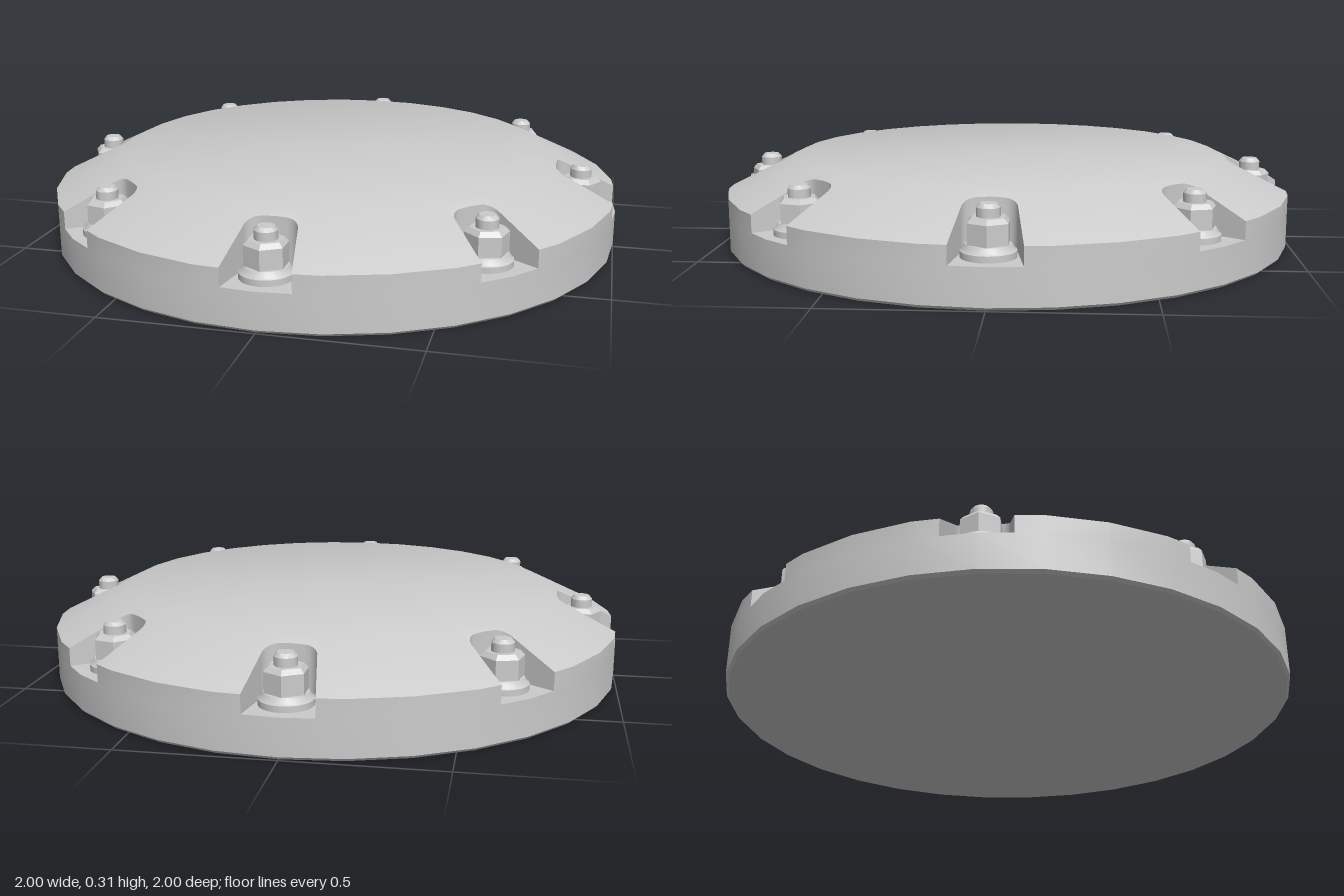
import * as THREE from 'three';
import { toCreasedNormals } from 'three/addons/utils/BufferGeometryUtils.js';

const SIDES = 32, NOTCHES = 8;
const STEP = (Math.PI * 2) / SIDES;
const FLOOR = 0.13, RIM = 0.19, TOP = 0.31, INNER = 0.75;
const BOLT_RADIUS = 0.875;

const material = new THREE.MeshStandardMaterial({ color: 0xcccccc });

function part(name, geometry, crease = 0.5) {
  const mesh = new THREE.Mesh(toCreasedNormals(geometry, crease), material);
  mesh.name = name;
  return mesh;
}

function lathe(points, sides) {
  return new THREE.LatheGeometry(points.map(([r, y]) => new THREE.Vector2(r, y)), sides);
}

// Radius of the unit polygon with SIDES corners at a given angle
function rim(angle) {
  const a = ((angle % STEP) + STEP) % STEP;
  return Math.cos(STEP / 2) / Math.cos(a - STEP / 2);
}

// Plan outline as [angle, radius], with a tapered round-cornered notch at each bolt
function notchedOutline() {
  const mouth = 0.11;
  const half = [];
  for (let i = 0; i <= 5; i++) {
    const t = (i / 5) * Math.PI / 2;
    const u = 0.04 + 0.045 * Math.sin(t), r = 0.835 - 0.045 * Math.cos(t);
    half.push([Math.atan2(u, r), Math.hypot(u, r)]);
  }
  half.push([mouth, rim(mouth)]);
  const outline = [];
  for (let n = 0; n < NOTCHES; n++) {
    const base = (n * Math.PI * 2) / NOTCHES;
    for (const [a, r] of [...half].reverse()) outline.push([base - a, r]);
    outline.push([base, 0.79]);
    for (const [a, r] of half) outline.push([base + a, r]);
    for (let k = 1; k < SIDES / NOTCHES; k++) outline.push([base + k * STEP, 1]);
  }
  return outline;
}

// Vertical walls, sloping shoulder and flat top joined around the notched outline
function coverGeometry() {
  const at = (a, r, y) => [Math.sin(a) * r, y, Math.cos(a) * r];
  const columns = notchedOutline().map(([a, r]) => {
    const t = (1 - r / rim(a)) / (1 - INNER);
    return [
      at(a, r, FLOOR),
      at(a, r, RIM + (TOP - RIM) * t),
      at(a, INNER * rim(a), TOP),
    ];
  });
  const positions = [];
  columns.forEach((c, i) => {
    const d = columns[(i + 1) % columns.length];
    for (let j = 0; j < 2; j++) {
      positions.push(...c[j], ...d[j], ...d[j + 1], ...c[j], ...d[j + 1], ...c[j + 1]);
    }
    positions.push(...c[2], ...d[2], 0, TOP, 0);
  });
  const geometry = new THREE.BufferGeometry();
  geometry.setAttribute('position', new THREE.Float32BufferAttribute(positions, 3));
  return geometry;
}

function createBolt() {
  const bolt = new THREE.Group();
  bolt.name = 'bolt';
  // Washer and nut flange
  bolt.add(part('washer', lathe([[0.085, 0], [0.085, 0.02], [0.078, 0.025], [0.07, 0.04], [0.03, 0.045]], 24)));
  // Hexagonal nut with a bevelled top
  bolt.add(part('nut', lathe([[0.07, 0.02], [0.07, 0.105], [0.056, 0.12], [0.03, 0.12]], 6), 0.2));
  // Threaded stud end with a chamfered tip
  bolt.add(part('stud', lathe([[0.036, 0.1], [0.036, 0.148], [0.026, 0.16], [0, 0.16]], 20)));
  return bolt;
}

export function createModel() {
  const model = new THREE.Group();
  model.name = 'boltedCover';

  // Base disc; its top shows as the floor of every notch
  model.add(part('base', lathe([[0, 0], [0.99, 0], [1, 0.01], [1, FLOOR], [0, FLOOR]], SIDES)));
  model.add(part('cover', coverGeometry()));

  // Ring of bolts, one in each notch
  for (let n = 0; n < NOTCHES; n++) {
    const a = (n * Math.PI * 2) / NOTCHES;
    const bolt = createBolt();
    bolt.position.set(Math.sin(a) * BOLT_RADIUS, FLOOR, Math.cos(a) * BOLT_RADIUS);
    bolt.rotation.y = a;
    model.add(bolt);
  }
  return model;
}
